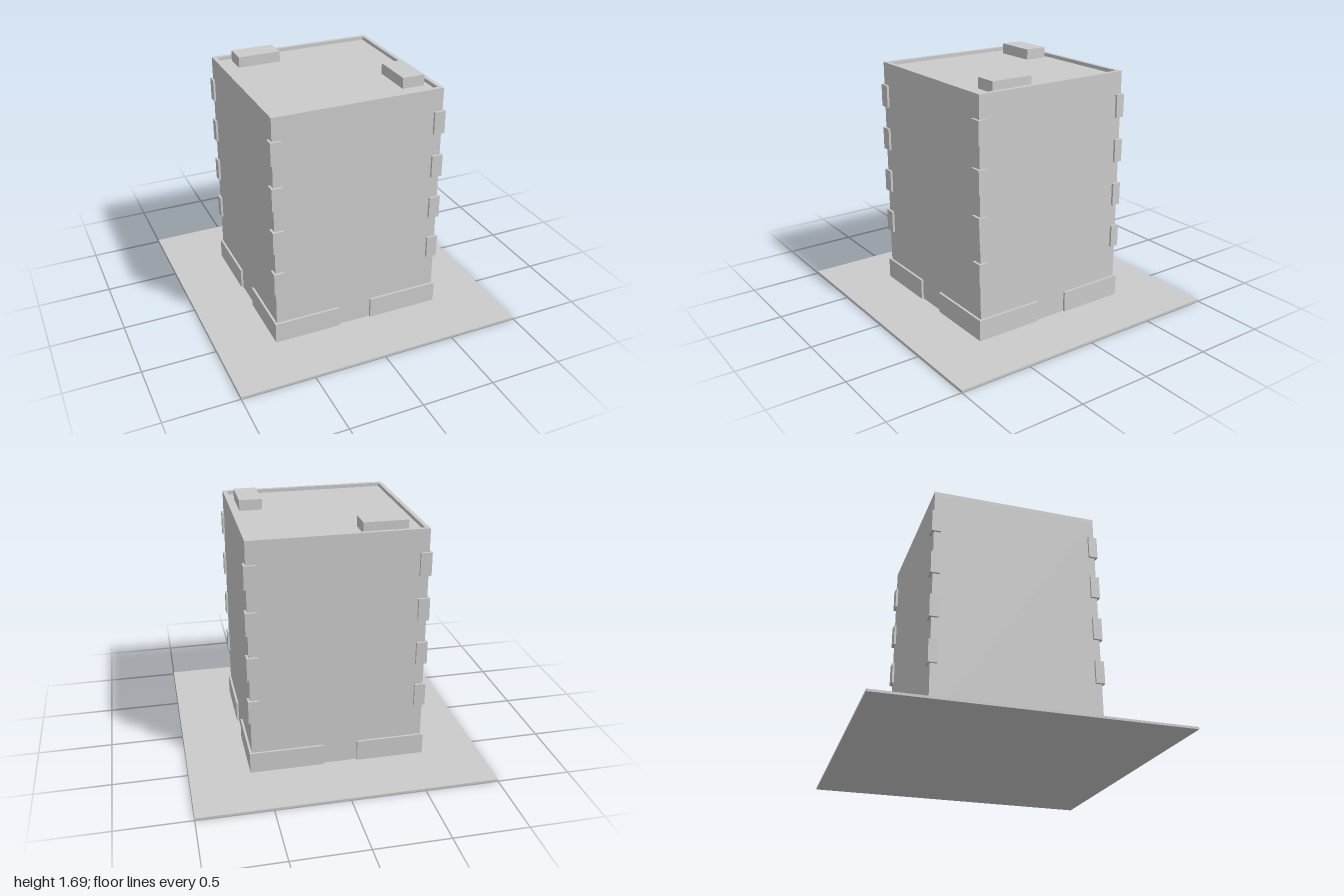
import * as THREE from 'three';

const material = new THREE.MeshStandardMaterial({ color: 0xcccccc, flatShading: true });

// Box given by its extents along each axis
function box(name, [x0, x1], [y0, y1], [z0, z1]) {
  const mesh = new THREE.Mesh(new THREE.BoxGeometry(x1 - x0, y1 - y0, z1 - z0), material);
  mesh.position.set((x0 + x1) / 2, (y0 + y1) / 2, (z0 + z1) / 2);
  mesh.name = name;
  return mesh;
}

function rectangle(PathType, [x0, x1], [z0, z1]) {
  return new PathType([[x0, -z1], [x1, -z1], [x1, -z0], [x0, -z0]].map(p => new THREE.Vector2(...p)));
}

export function createModel() {
  const model = new THREE.Group();
  model.name = 'building';

  const groundTop = 0.015, roofY = 1.617, wallTop = 1.642;
  const wallX = [-0.595, 0.576], wallZ = [-0.562, 0.575];

  // Ground slab and main block
  model.add(box('ground', [-1, 1], [0, groundTop], [-1, 1]));
  model.add(box('walls', wallX, [groundTop, roofY], wallZ));

  // Low parapet round the flat roof
  const rim = rectangle(THREE.Shape, wallX, wallZ);
  rim.holes.push(rectangle(THREE.Path, [-0.566, 0.547], [-0.535, 0.546]));
  const parapet = new THREE.Mesh(
    new THREE.ExtrudeGeometry(rim, { depth: wallTop - roofY, bevelEnabled: false }), material);
  parapet.rotation.x = -Math.PI / 2;
  parapet.position.y = roofY;
  parapet.name = 'parapet';
  model.add(parapet);

  // Rooftop units
  model.add(box('roofUnitBack', [-0.47, -0.175], [roofY, 1.69], [-0.505, -0.35]));
  model.add(box('roofUnitSide', [0.358, 0.513], [roofY, 1.69], [0.138, 0.433]));

  // Each corner: a wide plinth and four quoins wrapping the edge
  const sidesX = [
    { name: 'Right', plinth: [-0.61, -0.145], quoin: [-0.61, -0.535] },
    { name: 'Left', plinth: [0.09, 0.591], quoin: [0.514, 0.591] },
  ];
  const sidesZ = [
    { name: 'Back', plinth: [-0.578, -0.11], quoin: [-0.578, -0.517] },
    { name: 'Front', plinth: [0.123, 0.591], quoin: [0.53, 0.591] },
  ];
  for (const sx of sidesX) {
    for (const sz of sidesZ) {
      const corner = new THREE.Group();
      corner.name = 'corner' + sz.name + sx.name;
      corner.add(box('plinth', sx.plinth, [groundTop, 0.16], sz.plinth));
      for (let i = 0; i < 4; i++) {
        const y = 0.396 + i * 0.3115;
        corner.add(box('quoin', sx.quoin, [y, y + 0.156], sz.quoin));
      }
      model.add(corner);
    }
  }
  return model;
}
